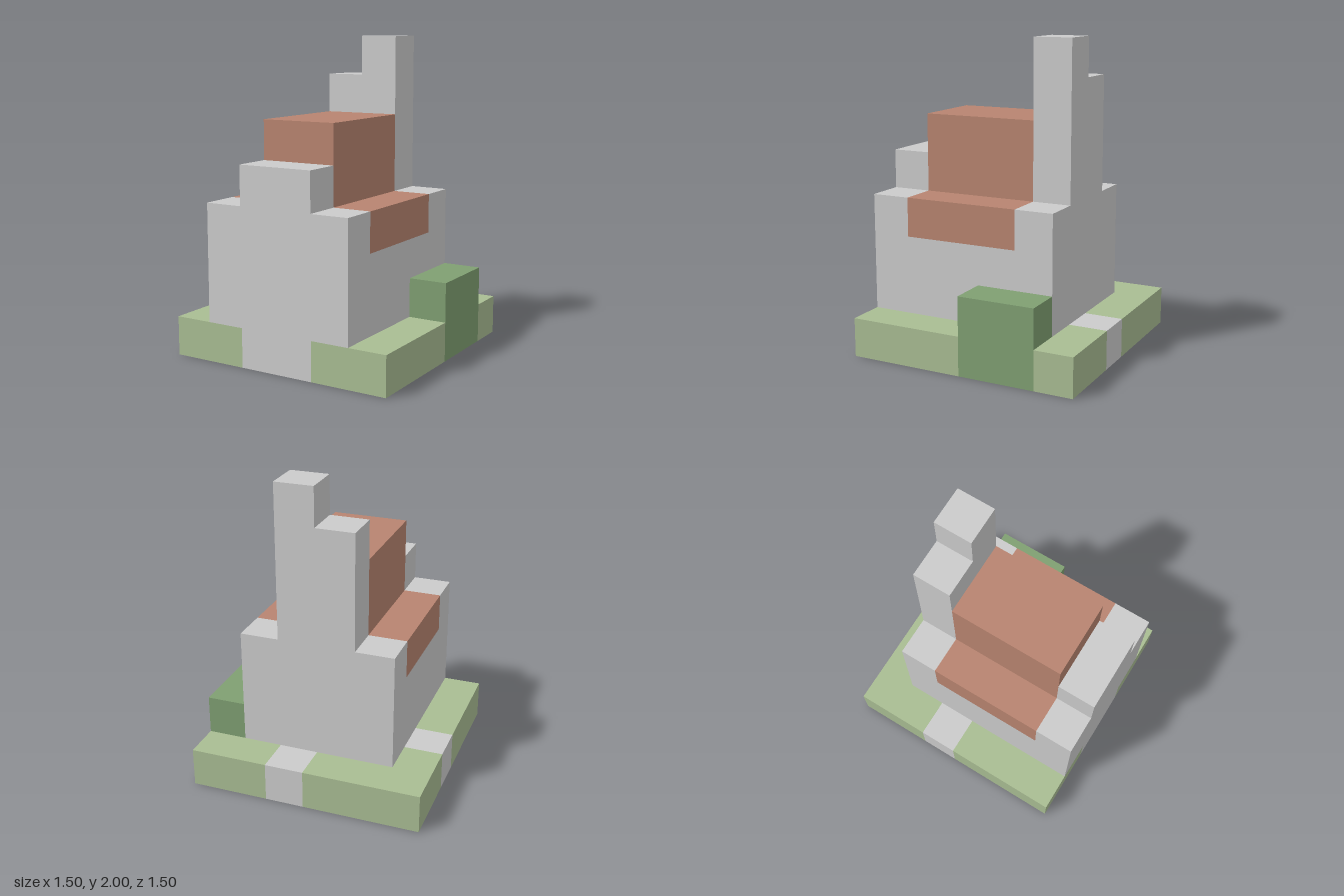
import * as THREE from 'three';
import { mergeGeometries } from 'three/addons/utils/BufferGeometryUtils.js';

const U = 0.25; // block size

// Column heights in blocks: rows run back to front, digits from -x to +x
const HEIGHTS = [
  '111111',
  '147842',
  '146642',
  '146641',
  '146641',
  '145541',
];

const COLORS = {
  walls: 0xcccccc,
  chimney: 0xcccccc,
  path: 0xcccccc,
  roof: 0xb88470,
  lawn: 0xa9bd93,
  bush: 0x7f9f72,
};

const height = (i, k) => Number(HEIGHTS[k]?.[i] ?? 0);

// Which part the block at column (i, k) and level j belongs to
function partAt(i, j, k) {
  if (i === 5 && (k === 1 || k === 2)) return 'bush';
  if (j === 0) {
    const paved = (i === 3 && k === 0) || (i === 0 && k === 2) || (k === 5 && (i === 2 || i === 3));
    return paved ? 'path' : 'lawn';
  }
  if (j >= 3 && k >= 2 && k <= 4) return 'roof';
  if (j >= 4 && k === 1) return 'chimney';
  return 'walls';
}

export function createModel() {
  const faces = {};
  const add = (name, face, x, y, z) => (faces[name] ??= []).push(face.translate(x, y, z));

  for (let k = 0; k < 6; k++) {
    for (let i = 0; i < 6; i++) {
      const h = height(i, k);
      const x = (i - 2.5) * U;
      const z = (k - 2.5) * U;

      // Top of the column; the shell is hollow and open underneath
      const top = new THREE.PlaneGeometry(U, U).rotateX(-Math.PI / 2);
      add(partAt(i, h - 1, k), top, x, h * U, z);

      // Sides that rise above each neighbouring column
      for (const [dx, dz] of [[1, 0], [-1, 0], [0, 1], [0, -1]]) {
        for (let j = height(i + dx, k + dz); j < h; j++) {
          const side = new THREE.PlaneGeometry(U, U).rotateY(Math.atan2(dx, dz));
          add(partAt(i, j, k), side, x + (dx * U) / 2, (j + 0.5) * U, z + (dz * U) / 2);
        }
      }
    }
  }

  // One mesh per part
  const house = new THREE.Group();
  house.name = 'blockHouse';
  for (const [name, list] of Object.entries(faces)) {
    const material = new THREE.MeshStandardMaterial({ color: COLORS[name], side: THREE.DoubleSide });
    const mesh = new THREE.Mesh(mergeGeometries(list), material);
    mesh.name = name;
    house.add(mesh);
  }
  return house;
}
